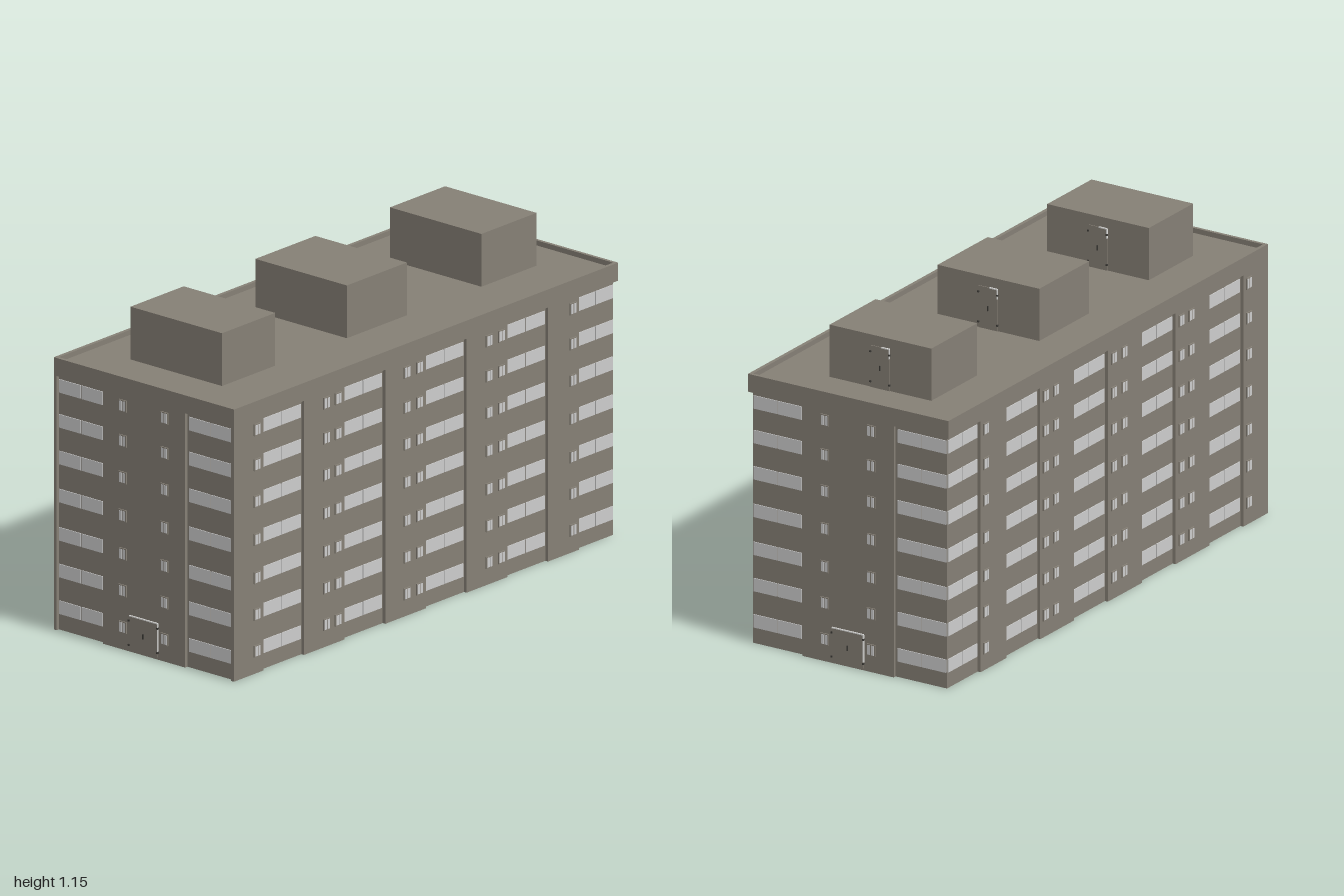
import * as THREE from 'three';
import { mergeGeometries } from 'three/addons/utils/BufferGeometryUtils.js';

// outer wall planes, recessed bay planes, and main heights
const X = 0.992, Z = 0.405, BX = 0.98, BZ = 0.393;
const BAND = 0.915, TOP = 0.98, ROOF = 0.962;
const FLOORS = [0.081, 0.213, 0.345, 0.483, 0.62, 0.752, 0.878];
const BAYS = [[-0.84, -0.63], [-0.42, -0.21], [0, 0.21], [0.42, 0.63]];
const CORNER = 0.79, SIDE = 0.185;

export function createModel() {
  const model = new THREE.Group();
  model.name = 'apartmentBlock';

  const material = (name, color, side = THREE.FrontSide) => {
    const m = new THREE.MeshStandardMaterial({ color, side });
    m.name = name;
    return m;
  };
  const wallMat = material('concrete', 0x857f75, THREE.DoubleSide);
  const glassMat = material('paleGlass', 0xcccccc);
  const trimMat = material('lightTrim', 0xe0e0de);
  const darkMat = material('darkMetal', 0x3c3a36);

  const add = (name, geometry, mat) => {
    const mesh = new THREE.Mesh(geometry, mat);
    mesh.name = name;
    model.add(mesh);
    return mesh;
  };
  const box = (w, h, d, x, y, z) => new THREE.BoxGeometry(w, h, d).translate(x, y, z);

  // plate lying on a facade: axis 'z' is front/back, axis 'x' is the two ends
  const plate = (axis, plane, u, y, w, h, t) =>
    axis === 'z' ? box(w, h, t, u, y, plane) : box(t, h, w, plane, y, u);

  // stepped footprint: front half from left to right, then mirrored to the back
  const half = [[-X, SIDE], [-BX, SIDE], [-BX, BZ], [-X, BZ], [-X, Z]];
  for (const [a, b] of BAYS) half.push([a, Z], [a, BZ], [b, BZ], [b, Z]);
  half.push([CORNER, Z], [CORNER, BZ], [BX, BZ], [BX, SIDE], [X, SIDE]);
  const footprint = [...half, ...half.map(([x, z]) => [x, -z]).reverse()];

  // walls, open underneath
  const pos = [];
  footprint.forEach(([ax, az], i) => {
    const [bx, bz] = footprint[(i + 1) % footprint.length];
    pos.push(ax, 0, az, bx, 0, bz, bx, BAND, bz, ax, 0, az, bx, BAND, bz, ax, BAND, az);
  });
  const walls = new THREE.BufferGeometry();
  walls.setAttribute('position', new THREE.Float32BufferAttribute(pos, 3));
  walls.computeVertexNormals();
  add('walls', walls, wallMat);

  // parapet ring whose underside closes the tops of the bays
  const rect = (C, x, z) => new C([[-x, -z], [x, -z], [x, z], [-x, z]].map(p => new THREE.Vector2(...p)));
  const ring = rect(THREE.Shape, X, Z + 0.001);
  ring.holes.push(rect(THREE.Path, BX, BZ));
  const parapet = new THREE.ExtrudeGeometry(ring, { depth: TOP - BAND, bevelEnabled: false });
  add('parapet', parapet.rotateX(-Math.PI / 2).translate(0, BAND, 0), wallMat);
  add('roof', box(2 * BX, 0.012, 2 * BZ, 0, ROOF - 0.006, 0), wallMat);

  // windows
  const bayPanes = [], smallPanes = [], smallFrames = [];
  const bayWindow = (axis, plane, a, b, y) => {
    const w = (b - a - 0.004) / 2;
    for (const u of [a + w / 2, b - w / 2]) bayPanes.push(plate(axis, plane, u, y, w, 0.048, 0.006));
  };
  const smallWindow = (axis, plane, u, y) => {
    const s = Math.sign(plane);
    smallFrames.push(plate(axis, plane + s * 0.001, u, y, 0.034, 0.042, 0.007));
    for (const d of [-0.0075, 0.0075])
      smallPanes.push(plate(axis, plane + s * 0.001, u + d, y, 0.0115, 0.035, 0.009));
  };
  for (const y of FLOORS) {
    for (const s of [-1, 1]) {
      // front and back
      for (const [a, b] of BAYS) bayWindow('z', s * BZ, a + 0.006, b - 0.006, y);
      bayWindow('z', s * BZ, CORNER + 0.006, BX - 0.004, y);
      for (const u of [-0.873, -0.515, -0.455, -0.1, -0.035, 0.325, 0.388, 0.758])
        smallWindow('z', s * Z, u, y);
      // ends
      for (const e of [-1, 1]) {
        const [a, b] = s > 0 ? [SIDE + 0.009, BZ - 0.003] : [-BZ + 0.003, -SIDE - 0.009];
        bayWindow('x', e * BX, a, b, y);
        smallWindow('x', e * X, s * 0.094, y);
      }
    }
  }
  add('bayWindows', mergeGeometries(bayPanes), glassMat);
  add('smallWindowFrames', mergeGeometries(smallFrames), wallMat);
  add('smallWindows', mergeGeometries(smallPanes), glassMat);

  // doors: a leaf, a thin trim along the top and one jamb, hinges and a handle
  const leaves = [], trims = [], metal = [];
  const door = (plane, s, z, y0, w, h, trimW, trimH) => {
    leaves.push(plate('x', plane, z, y0 + h / 2, w, h, 0.006));
    const edge = z - s * w / 2, p = plane + s * 0.002;
    trims.push(plate('x', p, edge + s * trimW / 2, y0 + h, trimW, 0.004, 0.006));
    trims.push(plate('x', p, edge, y0 + h - trimH / 2, 0.003, trimH, 0.006));
    for (const f of [0.14, 0.86])
      for (const k of [-1, 1])
        metal.push(plate('x', plane + s * 0.003, z + k * w / 2, y0 + h * f, 0.006, 0.006, 0.008));
    metal.push(plate('x', plane + s * 0.003, z, y0 + h / 2, 0.004, 0.018, 0.008));
  };
  for (const s of [-1, 1]) door(X, s, 0, 0.008, 0.128, 0.122, 0.128, 0.1);
  leaves.length = trims.length = metal.length = 0;
  for (const s of [-1, 1]) door(s * X, s, 0, 0.008, 0.128, 0.122, 0.128, 0.1);

  // rooftop stair houses, each with a door on its +x side
  for (const [a, b] of [[-0.8, -0.525], [-0.155, 0.155], [0.54, 0.825]]) {
    add('stairHouse', box(b - a, 1.152 - ROOF, 0.412, (a + b) / 2, (1.152 + ROOF) / 2, -0.022), wallMat);
    door(b, 1, -0.022, ROOF, 0.076, 0.152, 0.032, 0.035);
  }
  add('doors', mergeGeometries(leaves), wallMat);
  add('doorTrims', mergeGeometries(trims), trimMat);
  add('doorFittings', mergeGeometries(metal), darkMat);

  return model;
}
